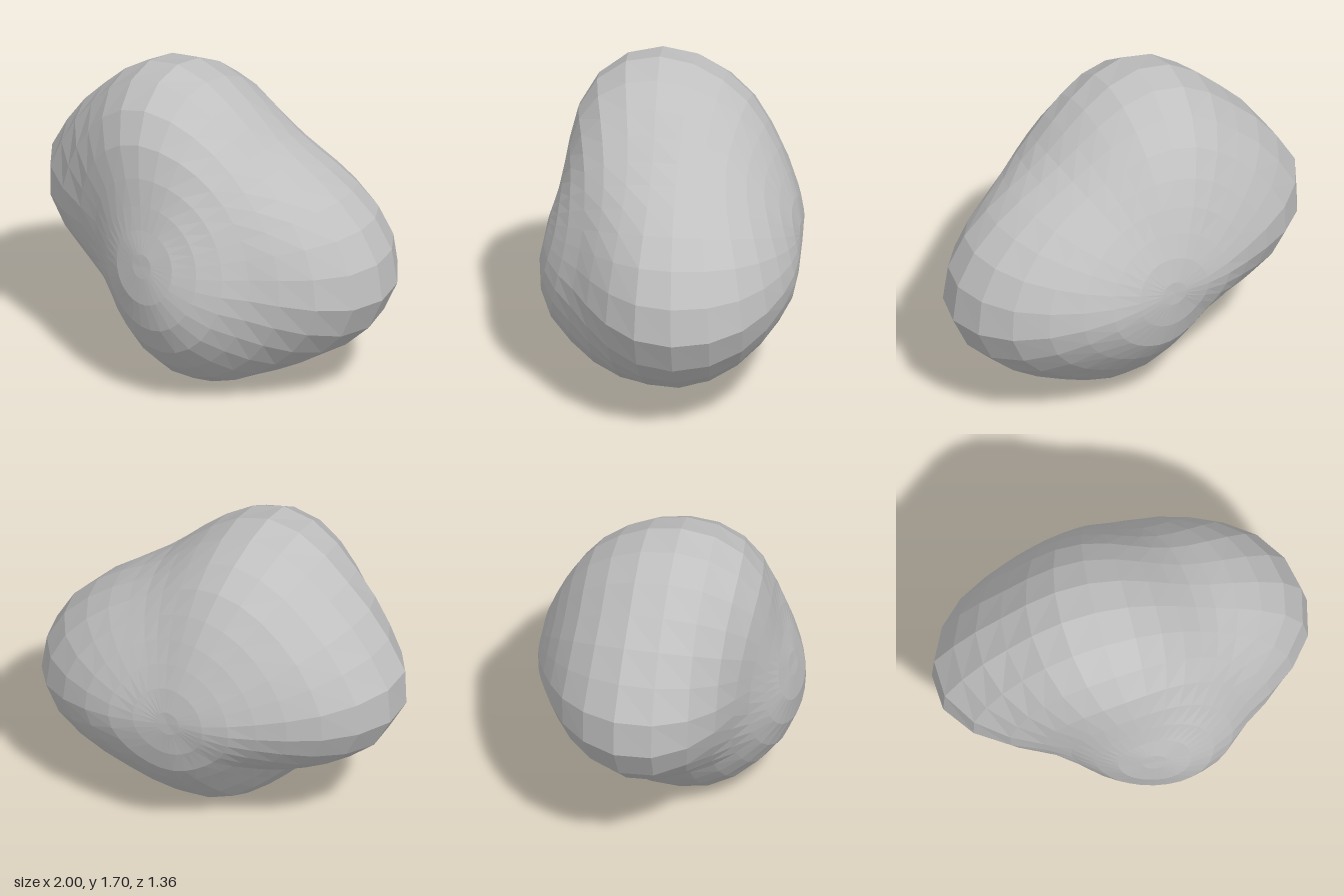
import * as THREE from 'three';

const SIDES = 32, RINGS = 16, CENTRE_Y = 0.82;

// Radius of the rock along four meridians, ring by ring from front to back
const RIGHT = [.655, .67, .675, .678, .695, .765, .865, .963, 1.005, .994, .947, .873, .803, .747, .702, .673];
const TOP = [.638, .622, .64, .692, .775, .85, .892, .894, .865, .82, .773, .721, .683, .662, .662, .668];
const LEFT = [.64, .632, .622, .628, .68, .782, .902, .993, 1.005, .951, .874, .795, .74, .71, .689, .673];
const BOTTOM = [.66, .695, .725, .75, .77, .798, .82, .819, .81, .773, .724, .694, .686, .695, .683, .673];

// Widest outline seen along z, counter-clockwise from +x
const OUTLINE = [
  .97, .89, .80, .727, .68, .67, .70, .76, .84, .908, .932, .924, .915, .935, .965, 1.01,
  1.0, .918, .812, .72, .66, .677, .717, .775, .815, .832, .834, .843, .877, .93, .99, 1.018,
];

// Smooth blend around the z axis through four values
function blend(r, t, l, b, a) {
  return (r + t + l + b) / 4 + (r - l) / 2 * Math.cos(a) + (t - b) / 2 * Math.sin(a)
    + (r + l - t - b) / 4 * Math.cos(2 * a);
}

function rockGeometry() {
  const pos = [], index = [];
  for (let i = 0; i < RINGS; i++) {
    const phi = (i + 0.5) * Math.PI / RINGS, s = Math.sin(phi), c = Math.cos(phi);
    for (let j = 0; j < SIDES; j++) {
      const a = j * 2 * Math.PI / SIDES;
      // the lumps of the outline fade out towards the poles, sooner at the front
      const lump = (OUTLINE[j] / blend(1.0, .89, 1.0, .82, a) - 1) * s ** (c > 0 ? 4 : 2);
      // two diagonal lobes, upper left and lower right, fuller at the front
      const side = (1 - Math.sin(2 * a)) / 2;
      const lobe = (c > 0 ? 0.3 : 0.1) * (c * s * side) ** 2;
      const r = blend(RIGHT[i], TOP[i], LEFT[i], BOTTOM[i], a) * (1 + lump + lobe);
      pos.push(r * s * Math.cos(a), CENTRE_Y + r * s * Math.sin(a), r * c);
    }
  }
  const front = RINGS * SIDES, back = front + 1;
  pos.push(0, CENTRE_Y, 0.645, 0, CENTRE_Y, -0.668);

  for (let j = 0; j < SIDES; j++) {
    const k = (j + 1) % SIDES, last = (RINGS - 1) * SIDES;
    index.push(front, j, k, back, last + k, last + j);
    for (let i = 0; i < RINGS - 1; i++) {
      const a = i * SIDES + j, b = i * SIDES + k, c = a + SIDES, d = b + SIDES;
      index.push(a, c, b, b, c, d);
    }
  }
  const indexed = new THREE.BufferGeometry();
  indexed.setAttribute('position', new THREE.Float32BufferAttribute(pos, 3));
  indexed.setIndex(index);

  // Faceted faces, centred and standing on the ground
  const geo = indexed.toNonIndexed();
  geo.computeBoundingBox();
  const { min, max } = geo.boundingBox;
  geo.translate(-(min.x + max.x) / 2, -min.y, -(min.z + max.z) / 2);
  geo.computeVertexNormals();
  return geo;
}

export function createModel() {
  const group = new THREE.Group();
  group.name = 'boulder';
  const stone = new THREE.MeshStandardMaterial({ color: 0xc0c0c0, flatShading: true });
  stone.name = 'stone grey';
  const rock = new THREE.Mesh(rockGeometry(), stone);
  rock.name = 'rock';
  group.add(rock);
  return group;
}
